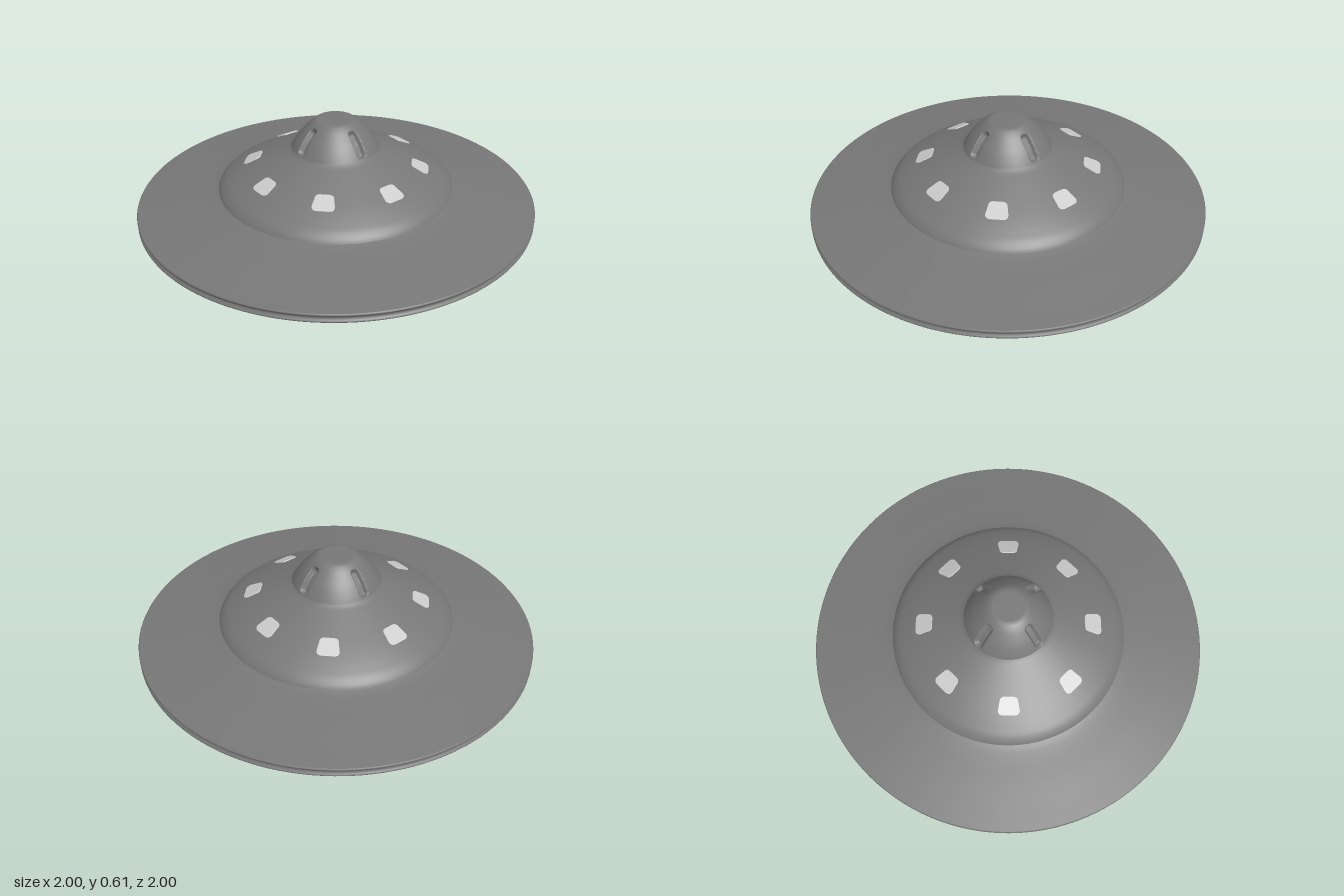
import * as THREE from 'three';

const SEGMENTS = 160;
const hullMat = new THREE.MeshStandardMaterial({ color: 0x777777, side: THREE.DoubleSide });
const paneMat = new THREE.MeshStandardMaterial({ color: 0xcccccc });

// Smooth curve through [radius, height] pairs, running from below and inside to above
function smooth(pairs, n) {
  const pts = pairs.map(([r, y]) => new THREE.Vector3(r, y, 0));
  return new THREE.CatmullRomCurve3(pts, false, 'centripetal').getSpacedPoints(n)
    .map(p => new THREE.Vector2(Math.max(p.x, 0), p.y));
}

function revolve(name, points, segments = SEGMENTS) {
  const mesh = new THREE.Mesh(new THREE.LatheGeometry(points, segments), hullMat);
  mesh.name = name;
  return mesh;
}

// Four rounded slots pressed into the dome
function pressSlots(geometry) {
  const pos = geometry.attributes.position, nor = geometry.attributes.normal;
  for (let i = 0; i < pos.count; i++) {
    const x = pos.getX(i), y = pos.getY(i), z = pos.getZ(i);
    const across = Math.min(Math.abs(x), Math.abs(z));
    const dx = Math.max(across - 0.006, 0), dy = Math.max(Math.abs(y - 0.523) - 0.038, 0);
    const depth = 0.022 * (1 - THREE.MathUtils.smoothstep(Math.hypot(dx, dy), 0.008, 0.02));
    pos.setXYZ(i, x - nor.getX(i) * depth, y - nor.getY(i) * depth, z - nor.getZ(i) * depth);
  }
  // Normals from the grid, welded over the seam where the lathe closes
  geometry.computeVertexNormals();
  const n = geometry.attributes.normal, rows = geometry.parameters.points.length;
  const last = geometry.parameters.segments * rows;
  for (let j = 0; j < rows; j++) {
    const v = new THREE.Vector3().fromBufferAttribute(n, j)
      .add(new THREE.Vector3().fromBufferAttribute(n, last + j)).normalize();
    n.setXYZ(j, v.x, v.y, v.z);
    n.setXYZ(last + j, v.x, v.y, v.z);
  }
}

// Rounded window pane, slightly narrower towards the top
function paneGeometry() {
  const a = 0.052, b = 0.045, c = 0.044, r = 0.024;
  const s = new THREE.Shape();
  s.moveTo(-a + r, -b);
  s.lineTo(a - r, -b);
  s.quadraticCurveTo(a, -b, a, -b + r);
  s.lineTo(c, b - r);
  s.quadraticCurveTo(c, b, c - r, b);
  s.lineTo(-c + r, b);
  s.quadraticCurveTo(-c, b, -c, b - r);
  s.lineTo(-a, -b + r);
  s.quadraticCurveTo(-a, -b, -a + r, -b);
  return new THREE.ExtrudeGeometry(s, {
    depth: 0.012, curveSegments: 8, bevelEnabled: true,
    bevelSize: 0.002, bevelThickness: 0.002, bevelSegments: 2,
  });
}

export function createModel() {
  const group = new THREE.Group();
  group.name = 'saucer';
  const craft = new THREE.Group();
  craft.name = 'craft';
  group.add(craft);

  // Hollow in the underside, then the stepped lower hull
  craft.add(revolve('underBowl', smooth([[0, 0.15], [0.1, 0.149], [0.18, 0.142], [0.28, 0.115],
    [0.37, 0.07], [0.43, 0.025], [0.45, 0]], 30)));
  craft.add(revolve('baseRing', [new THREE.Vector2(0.45, 0), new THREE.Vector2(0.468, 0.001)]));
  craft.add(revolve('lowerHull', smooth([[0.468, 0.001], [0.474, 0.012], [0.48, 0.033], [0.495, 0.046],
    [0.55, 0.054], [0.63, 0.061], [0.7, 0.068], [0.722, 0.076], [0.737, 0.096], [0.755, 0.108],
    [0.8, 0.115], [0.9, 0.126], [0.993, 0.138]], 90)));

  // Grooved edge and the broad upper disc
  craft.add(revolve('rim', smooth([[0.993, 0.138], [0.999, 0.145], [0.992, 0.156], [0.99, 0.162],
    [0.992, 0.168], [1, 0.178], [0.996, 0.185]], 18)));
  craft.add(revolve('disc', smooth([[0.996, 0.185], [0.9, 0.199], [0.78, 0.218], [0.67, 0.235],
    [0.61, 0.247], [0.592, 0.253]], 24)));

  // Shoulder that carries the windows
  craft.add(revolve('shoulder', smooth([[0.592, 0.253], [0.585, 0.265], [0.56, 0.29], [0.52, 0.315],
    [0.47, 0.342], [0.42, 0.366], [0.34, 0.402], [0.27, 0.433], [0.235, 0.449], [0.22, 0.459]], 48)));

  // Dome with slots and its flat cap
  const dome = revolve('dome', smooth([[0.22, 0.459], [0.205, 0.484], [0.18, 0.52], [0.15, 0.554],
    [0.12, 0.583], [0.095, 0.6], [0.08, 0.604]], 70), 320);
  pressSlots(dome.geometry);
  craft.add(dome);
  craft.add(revolve('domeCap', [new THREE.Vector2(0.08, 0.604), new THREE.Vector2(0, 0.604)]));

  // Eight windows above and eight small pads in the bowl
  const pane = paneGeometry();
  const pad = new THREE.SphereGeometry(1, 20, 12);
  for (let i = 0; i < 8; i++) {
    const spoke = new THREE.Group();
    spoke.name = 'spoke' + (i + 1);
    spoke.rotation.y = i * Math.PI / 4;

    const win = new THREE.Mesh(pane, paneMat);
    win.name = 'window';
    win.position.set(0, 0.356, 0.418);
    win.rotation.x = -Math.PI / 2 + 0.45;
    spoke.add(win);

    const bump = new THREE.Mesh(pad, hullMat);
    bump.name = 'underPad';
    bump.position.set(0, 0.145, 0.138);
    bump.scale.set(0.022, 0.012, 0.036);
    spoke.add(bump);
    craft.add(spoke);
  }

  // The craft leans very slightly to one side
  craft.rotation.z = 0.008;
  craft.position.y = 0.0037;
  return group;
}
